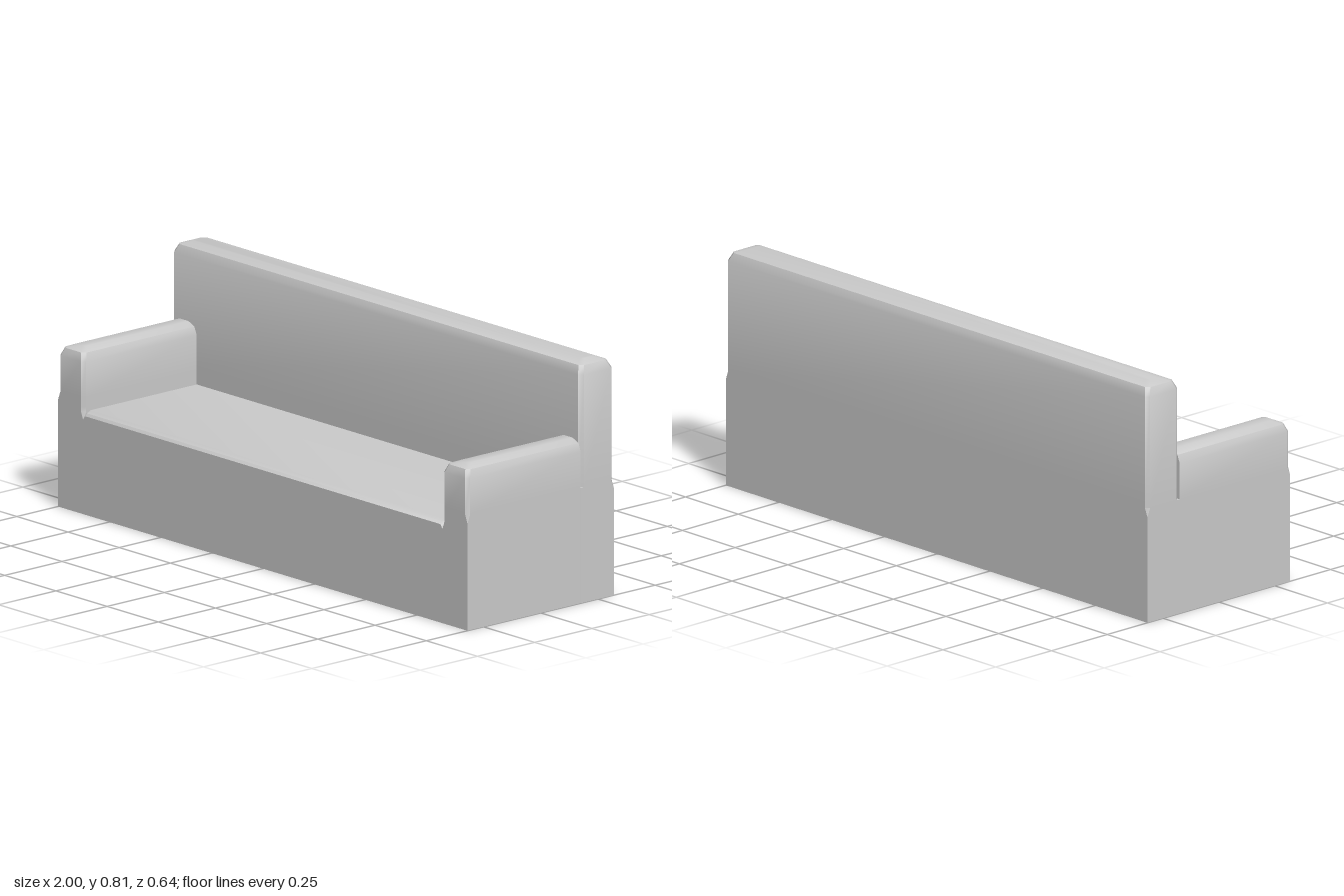
import * as THREE from 'three';
import { toCreasedNormals } from 'three/addons/utils/BufferGeometryUtils.js';

const SHARP = 0.0004;   // practically square corner
const CUT = 0.012;      // bevelled corner

// Horizontal rectangle with bevelled corners: c = [frontLeft, backLeft, backRight, frontRight]
function ring(y, x0, x1, z0, z1, c) {
  const [a, b, d, e] = c;
  return [
    [x1 - a, y, z1], [x1, y, z1 - a],
    [x1, y, z0 + b], [x1 - b, y, z0],
    [x0 + d, y, z0], [x0, y, z0 + d],
    [x0, y, z1 - e], [x0 + e, y, z1],
  ];
}

// Closed solid through a stack of rings, bottom to top
function loft(name, rings, material) {
  const n = rings[0].length;
  const index = [];
  for (let r = 0; r < rings.length - 1; r++) {
    for (let i = 0; i < n; i++) {
      const j = (i + 1) % n;
      const a = r * n + i, b = r * n + j, c = b + n, d = a + n;
      index.push(a, b, c, a, c, d);
    }
  }
  const top = (rings.length - 1) * n;
  for (let i = 1; i < n - 1; i++) {
    index.push(0, i + 1, i);
    index.push(top, top + i, top + i + 1);
  }
  const geometry = new THREE.BufferGeometry();
  geometry.setAttribute('position', new THREE.Float32BufferAttribute(rings.flat(2), 3));
  geometry.setIndex(index);
  const mesh = new THREE.Mesh(toCreasedNormals(geometry, 0.6), material);
  mesh.name = name;
  return mesh;
}

export function createModel() {
  const group = new THREE.Group();
  group.name = 'sofa';
  const material = new THREE.MeshStandardMaterial({ color: 0xcccccc });

  // Seat block: rounded front edge with small notches at its ends
  const seat = [[0, 0, SHARP], [0.315, 0, SHARP], [0.333, 0, CUT], [0.341, 0.009, CUT], [0.346, 0.025, CUT]];
  group.add(loft('seat', seat.map(([y, inset, c]) =>
    ring(y, -0.88, 0.88, -0.2, 0.32 - inset, [c, SHARP, SHARP, c])), material));

  // Armrests: square at the base, bevelled and rounded above; [y, inset, outer cut, inner cut]
  const arm = [
    [0, 0, SHARP, SHARP], [0.315, 0, SHARP, SHARP], [0.345, 0, SHARP, CUT],
    [0.362, 0, SHARP, CUT], [0.392, 0, CUT, CUT], [0.513, 0, CUT, CUT],
    [0.54, 0.011, CUT, CUT], [0.552, 0.04, CUT, CUT],
  ];
  for (const side of [1, -1]) {
    const rings = arm.map(([y, inset, outer, inner]) => {
      const inX = 0.876 + inset, outX = 1 - inset, front = 0.32 - inset;
      return side > 0
        ? ring(y, inX, outX, -0.175, front, [outer, SHARP, SHARP, inner])
        : ring(y, -outX, -inX, -0.175, front, [inner, SHARP, SHARP, outer]);
    });
    group.add(loft(side > 0 ? 'leftArmrest' : 'rightArmrest', rings, material));
  }

  // Backrest: the front corners step in at arm height; [y, inset, rear cut, front cut]
  const back = [
    [0, 0, SHARP, SHARP], [0.362, 0, SHARP, SHARP], [0.39, 0, CUT, SHARP],
    [0.391, 0, CUT, 0.014], [0.77, 0, CUT, 0.014], [0.798, 0.013, CUT, CUT], [0.81, 0.045, CUT, CUT],
  ];
  group.add(loft('backrest', back.map(([y, inset, rear, front]) =>
    ring(y, -1 + inset, 1 - inset, -0.32 + inset, -0.175 - inset, [front, rear, rear, front])), material));

  return group;
}
